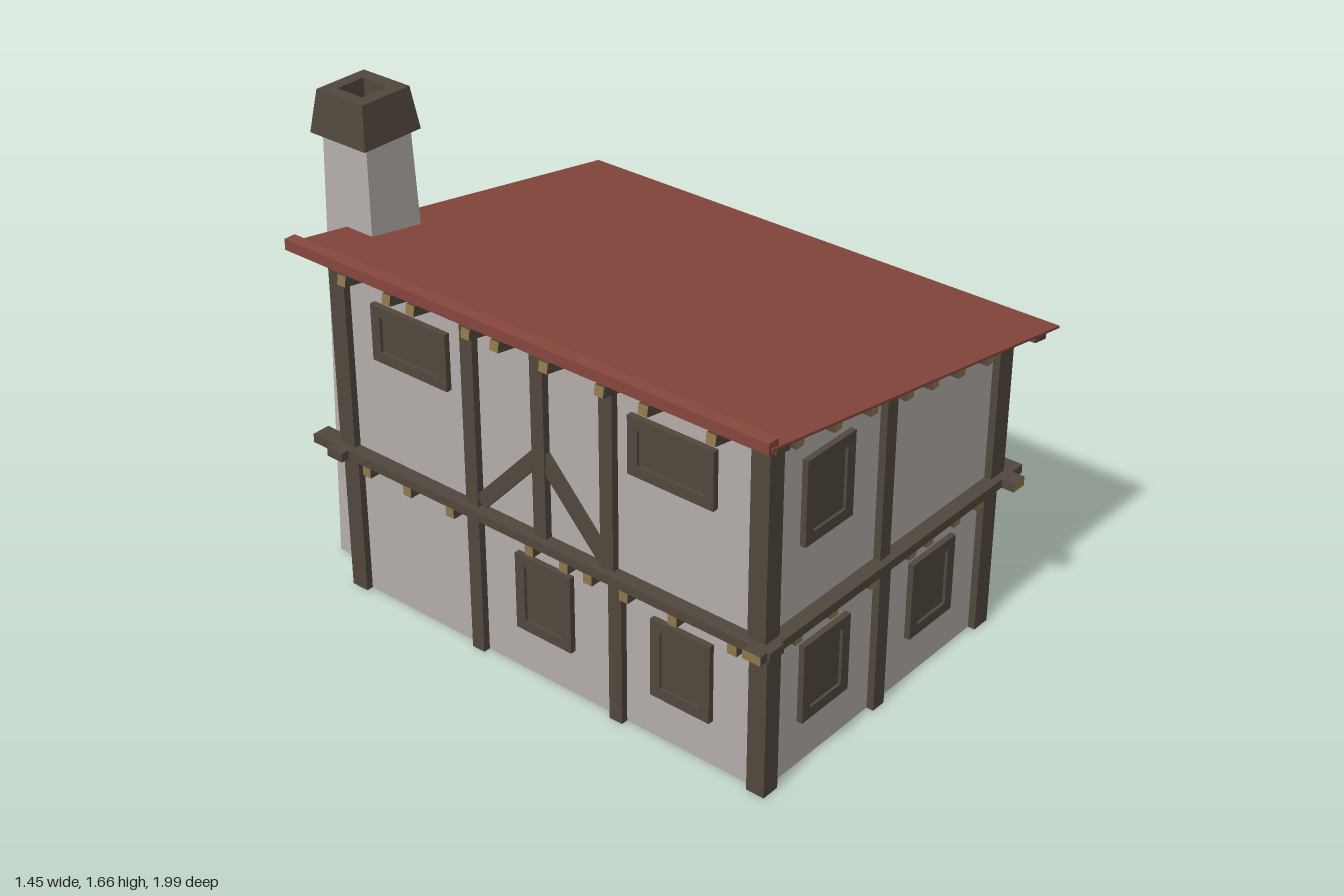
import * as THREE from 'three';

const mat = (name, color) => Object.assign(new THREE.MeshStandardMaterial({ color }), { name });

export function createModel() {
  const plaster = mat('plaster', 0xb4adaa);
  const wood = mat('darkWood', 0x51483d);
  const cut = mat('cutWood', 0x8e764a);
  const tile = mat('roofRed', 0x87473d);
  const iron = mat('darkIron', 0x322d27);
  plaster.side = tile.side = THREE.DoubleSide;

  const model = new THREE.Group();
  const add = (name, geo, material, parent = model) => {
    const m = new THREE.Mesh(geo, material);
    m.name = name;
    parent.add(m);
    return m;
  };
  // box from its two extents on each axis
  const box = (name, [x0, x1], [y0, y1], [z0, z1], material = wood, parent = model) => {
    const m = add(name, new THREE.BoxGeometry(x1 - x0, y1 - y0, z1 - z0), material, parent);
    m.position.set((x0 + x1) / 2, (y0 + y1) / 2, (z0 + z1) / 2);
    return m;
  };
  // face order: +x -x +y -y +z -z
  const ends = (...faces) => [0, 1, 2, 3, 4, 5].map(i => faces.includes(i) ? cut : wood);

  const slope = 0.16;
  const roofY = x => 1.262 - slope * (x + 0.7);
  const tilt = -Math.atan(slope);
  // sloping timber running down the roof
  const sloped = (name, x0, x1, drop, z, depth, h, material) => {
    const xm = (x0 + x1) / 2;
    const m = add(name, new THREE.BoxGeometry((x1 - x0) / Math.cos(tilt), h, depth), material);
    m.position.set(xm, roofY(xm) - drop, z);
    m.rotation.z = tilt;
    return m;
  };

  // plaster walls of the ground floor, open underneath
  box('lowerFrontWall', [-0.59, 0.54], [0, 0.53], [0.87, 0.89], plaster);
  box('lowerBackWall', [-0.59, 0.54], [0, 0.53], [-0.78, -0.76], plaster);
  box('lowerLeftWall', [0.52, 0.54], [0, 0.53], [-0.76, 0.87], plaster);
  box('lowerRightWall', [-0.59, -0.57], [0, 0.53], [-0.76, 0.87], plaster);

  // plaster walls of the upper floor, following the roof slope
  const gable = new THREE.Shape();
  gable.moveTo(-0.6, 0.53);
  gable.lineTo(0.565, 0.53);
  gable.lineTo(0.565, roofY(0.565) - 0.02);
  gable.lineTo(-0.6, roofY(-0.6) - 0.02);
  for (const [name, z] of [['upperFrontWall', 0.87], ['upperBackWall', -0.785]]) {
    add(name, new THREE.ExtrudeGeometry(gable, { depth: 0.02, bevelEnabled: false }), plaster).position.z = z;
  }
  box('upperLeftWall', [0.545, 0.565], [0.53, 1.04], [-0.765, 0.87], plaster);
  box('upperRightWall', [-0.6, -0.58], [0.53, 1.22], [-0.765, 0.87], plaster);
  box('upperFloor', [-0.59, 0.55], [0.522, 0.535], [-0.77, 0.88]);

  // corner and middle posts on front and back
  for (const [z0, z1] of [[0.85, 0.915], [-0.8, -0.735]]) {
    for (const [x0, x1] of [[-0.615, -0.55], [-0.07, -0.015], [0.485, 0.555]]) {
      box('lowerPost', [x0, x1], [0, 0.53], [z0, z1]);
    }
    for (const [x0, x1] of [[-0.625, -0.56], [-0.075, -0.025], [0.515, 0.588]]) {
      box('upperPost', [x0, x1], [0.53, roofY(x1) - 0.02], [z0, z1]);
    }
  }
  // posts along both sides
  for (const z of [0.345, -0.23]) {
    box('lowerSidePost', [0.5, 0.555], [0, 0.53], [z - 0.025, z + 0.025]);
    box('lowerSidePost', [-0.615, -0.56], [0, 0.53], [z - 0.025, z + 0.025]);
  }
  for (const z of [0.605, 0.325, -0.22, -0.48]) {
    box('upperSidePost', [0.535, 0.588], [0.55, 1.03], [z - 0.025, z + 0.025]);
  }
  for (const z of [0.325, 0.06, -0.22]) {
    box('upperSidePost', [-0.625, -0.57], [0.55, 1.22], [z - 0.025, z + 0.025]);
  }

  // diagonal braces either side of a post
  const brace = (x, z, reach) => {
    for (const s of [-1, 1]) {
      const m = add('brace', new THREE.BoxGeometry(0.035, 0.05, Math.hypot(reach, 0.27)), wood);
      m.position.set(x, 0.705, z + s * reach / 2);
      m.rotation.x = s * Math.atan2(0.27, reach);
    }
  };
  brace(0.565, 0.605, 0.26);
  brace(0.565, -0.48, 0.26);
  brace(-0.602, 0.06, 0.25);

  // ring of beams between the floors
  const beamY = [0.522, 0.553];
  box('frontBeam', [-0.68, 0.655], beamY, [0.875, 0.94], ends(1));
  box('leftBeam', [0.54, 0.598], beamY, [-0.8, 0.985], ends(4));
  box('backBeam', [-0.68, 0.655], beamY, [-0.805, -0.74], ends(0));
  box('rightBeam', [-0.65, -0.585], beamY, [-0.9, 0.95], ends(5));

  // floor joists running both ways, ends showing outside
  for (const x of [-0.48, -0.31, -0.115, 0.085, 0.175, 0.32, 0.445]) {
    box('floorJoist', [x - 0.017, x + 0.017], [0.485, 0.521], [-0.83, 0.925], ends(4, 5));
  }
  for (const z of [0.815, 0.595, 0.41, 0.27, 0.175, 0.035, -0.295, -0.48, -0.66]) {
    box('crossJoist', [-0.65, 0.61], [0.487, 0.523], [z - 0.017, z + 0.017], ends(0, 1));
  }

  // roof timbers
  for (const z of [0.908, -0.77]) sloped('gableRafter', -0.68, 0.69, 0.021, z, 0.065, 0.034, ends(0, 1));
  for (const z of [0.77, 0.53, 0.37, 0.16, -0.03, -0.145, -0.37, -0.47, -0.66]) {
    sloped('rafter', -0.7, 0.71, 0.056, z, 0.034, 0.034, ends(0, 1));
  }
  for (const x of [-0.505, -0.33, -0.155, 0.02, 0.15, 0.29, 0.445]) {
    const y = roofY(x) - 0.062;
    box('purlin', [x - 0.017, x + 0.017], [y - 0.018, y + 0.018], [-0.83, 0.925], ends(4, 5));
  }
  for (const x of [-0.64, 0.65]) sloped('eaveBeam', x - 0.03, x + 0.03, 0.022, 0.05, 1.84, 0.03, wood);

  // roof sheet and ridge strip
  sloped('roof', -0.715, 0.72, 0, 0.055, 1.87, 0.008, tile);
  box('ridgeStrip', [-0.725, -0.683], [1.25, 1.287], [-0.875, 0.985], tile);

  // framed window centred on the wall, facing +z before it is turned
  const windowFrame = (x, y, z, w, h, turn) => {
    const g = new THREE.Group();
    g.name = 'window';
    const t = 0.037;
    for (const s of [-1, 1]) {
      const a = s * (w - t) / 2, b = s * (h - t) / 2;
      box('windowSide', [a - t / 2, a + t / 2], [-h / 2, h / 2], [-0.025, 0.025], wood, g);
      box('windowRail', [-w / 2 + t, w / 2 - t], [b - t / 2, b + t / 2], [-0.025, 0.025], wood, g);
    }
    box('shutter', [-w / 2 + t, w / 2 - t], [-h / 2 + t, h / 2 - t], [-0.015, 0.015], wood, g);
    g.position.set(x, y, z);
    g.rotation.y = turn;
    model.add(g);
  };
  windowFrame(-0.332, 0.928, 0.885, 0.225, 0.285, 0);
  windowFrame(-0.318, 0.298, 0.885, 0.225, 0.275, 0);
  windowFrame(0.228, 0.298, 0.885, 0.225, 0.275, 0);
  windowFrame(0.56, 0.862, 0.053, 0.315, 0.195, Math.PI / 2);
  for (const z of [0.05, 0.59]) windowFrame(-0.585, 0.3, z, 0.225, 0.275, -Math.PI / 2);
  for (const z of [-0.47, 0.56]) windowFrame(-0.595, 1.01, z, 0.315, 0.195, -Math.PI / 2);

  // plank door with posts, grooves and ring handle
  box('doorPost', [0.51, 0.565], [0, 0.525], [0.73, 0.785]);
  box('doorPost', [0.51, 0.565], [0, 0.525], [0.445, 0.5]);
  box('doorSill', [0.51, 0.562], [0.025, 0.055], [0.5, 0.73]);
  box('door', [0.515, 0.55], [0, 0.43], [0.5, 0.73]);
  for (let i = 0; i < 5; i++) {
    const z = 0.725 - i * 0.053;
    box('doorGroove', [0.549, 0.552], [0.06, 0.395], [z - 0.012, z], iron);
  }
  box('doorGap', [0.549, 0.552], [0.008, 0.02], [0.505, 0.725], iron);
  const ring = add('doorRing', new THREE.TorusGeometry(0.022, 0.005, 6, 3), iron);
  ring.position.set(0.557, 0.17, 0.528);
  ring.rotation.set(0, Math.PI / 2, 0);
  ring.rotateZ(Math.PI / 2);
  box('doorLatch', [0.55, 0.56], [0.19, 0.225], [0.523, 0.533], iron);

  // square tapering section between two rectangles [x0, x1, z0, z1]
  const taper = (name, y0, a, y1, b, material) => {
    const geo = new THREE.BoxGeometry(1, 1, 1);
    const p = geo.attributes.position;
    for (let i = 0; i < p.count; i++) {
      const r = p.getY(i) > 0 ? b : a;
      p.setXYZ(i, p.getX(i) > 0 ? r[1] : r[0], p.getY(i) > 0 ? y1 : y0, p.getZ(i) > 0 ? r[3] : r[2]);
    }
    geo.computeVertexNormals();
    return add(name, geo, material);
  };
  taper('chimney', 0, [-0.5, -0.22, -0.98, -0.72], 1.53, [-0.455, -0.265, -0.97, -0.78], plaster);

  // hollow chimney cap, turned from a four-sided profile
  const q = Math.SQRT2;
  const profile = [[0.08, 1.52], [0.12, 1.52], [0.1, 1.663], [0.055, 1.663], [0.055, 1.6], [0, 1.6]];
  const capGeo = new THREE.LatheGeometry(profile.map(([r, y]) => new THREE.Vector2(r * q, y)), 4, Math.PI / 4).toNonIndexed();
  capGeo.computeVertexNormals();
  add('chimneyCap', capGeo, wood).position.set(-0.36, 0, -0.88);

  return model;
}
